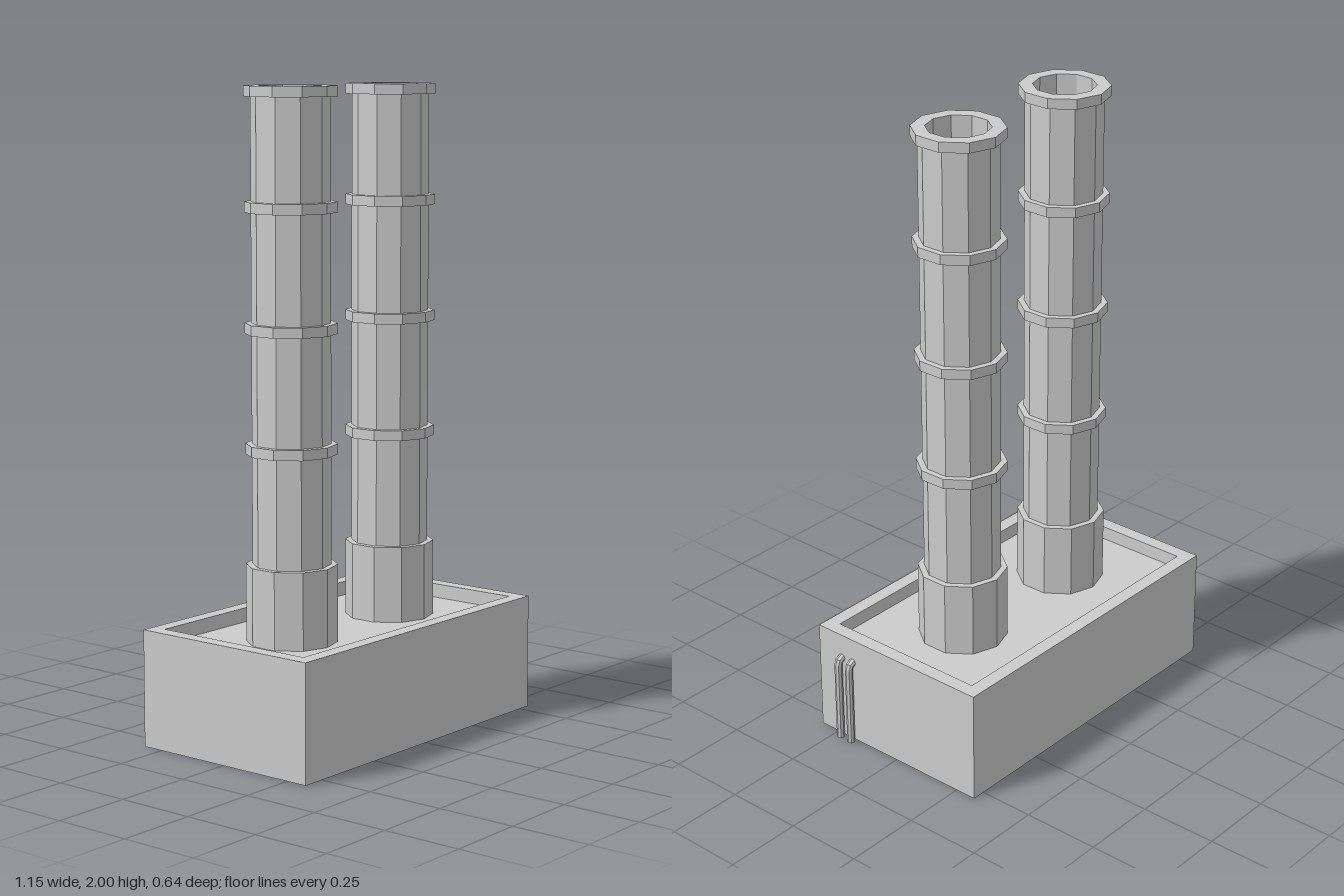
import * as THREE from 'three';

const material = new THREE.MeshStandardMaterial({ color: 0xcccccc, flatShading: true });

function addMesh(parent, name, geometry, x = 0, y = 0, z = 0) {
  const mesh = new THREE.Mesh(geometry, material);
  mesh.name = name;
  mesh.position.set(x, y, z);
  parent.add(mesh);
  return mesh;
}

// Counter-clockwise or clockwise rectangle outline, centred on the origin
function rectangle(target, width, depth) {
  const w = width / 2, d = depth / 2;
  target.moveTo(-w, -d);
  target.lineTo(w, -d);
  target.lineTo(w, d);
  target.lineTo(-w, d);
  target.closePath();
  return target;
}

const WIDTH = 1.116, DEPTH = 0.64, TOP = 0.365, FLOOR = 0.32;
const CENTRE_X = -0.015, WALL = 0.046;
const SIDES = 10;

// Ten-sided hollow stack: wide foot, shaft with collars, rim and open bore
function makeChimney() {
  const wide = 0.14, shaft = 0.12, bore = 0.097, collar = 0.032;
  const profile = [[wide, FLOOR], [wide, 0.56], [shaft, 0.56]];
  for (const y of [0.898, 1.263, 1.626, 2 - collar]) {
    profile.push([shaft, y], [wide, y], [wide, y + collar]);
    if (y + collar < 1.99) profile.push([shaft, y + collar]);
  }
  profile.push([bore, 2], [bore, FLOOR + 0.01], [0, FLOOR + 0.01]);
  return new THREE.LatheGeometry(profile.map(([r, y]) => new THREE.Vector2(r, y)), SIDES);
}

// Thin pipe rising from the ground and bending into the side wall
function makePipe(x, wallX) {
  const path = new THREE.CurvePath();
  const v = (px, py) => new THREE.Vector3(px, py, 0);
  path.add(new THREE.LineCurve3(v(x, 0), v(x, 0.268)));
  path.add(new THREE.QuadraticBezierCurve3(v(x, 0.268), v(x, 0.285), v(wallX - 0.01, 0.285)));
  return new THREE.TubeGeometry(path, 24, 0.0125, 8, false);
}

export function createModel() {
  const model = new THREE.Group();
  model.name = 'twinChimneyBuilding';

  // Building block with a raised parapet around the sunken roof
  addMesh(model, 'buildingBlock', new THREE.BoxGeometry(WIDTH, FLOOR, DEPTH), CENTRE_X, FLOOR / 2, 0);
  const outline = rectangle(new THREE.Shape(), WIDTH, DEPTH);
  outline.holes.push(rectangle(new THREE.Path(), WIDTH - 2 * WALL, DEPTH - 2 * WALL));
  const parapet = new THREE.ExtrudeGeometry(outline, { depth: TOP - FLOOR, bevelEnabled: false });
  parapet.rotateX(-Math.PI / 2);
  addMesh(model, 'roofParapet', parapet, CENTRE_X, FLOOR, 0);

  // Pair of chimneys
  const chimney = makeChimney();
  addMesh(model, 'rightChimney', chimney, -0.254);
  addMesh(model, 'leftChimney', chimney, 0.225);

  // Pair of wall pipes with closed lower ends
  const wallX = CENTRE_X + WIDTH / 2, pipeX = 0.5605;
  const pipe = makePipe(pipeX, wallX);
  const cap = new THREE.CircleGeometry(0.0125, 8).rotateX(Math.PI / 2);
  for (const z of [0.179, 0.224]) {
    const group = new THREE.Group();
    group.name = 'wallPipe';
    group.position.z = z;
    addMesh(group, 'pipeTube', pipe);
    addMesh(group, 'pipeEnd', cap, pipeX);
    model.add(group);
  }
  return model;
}
